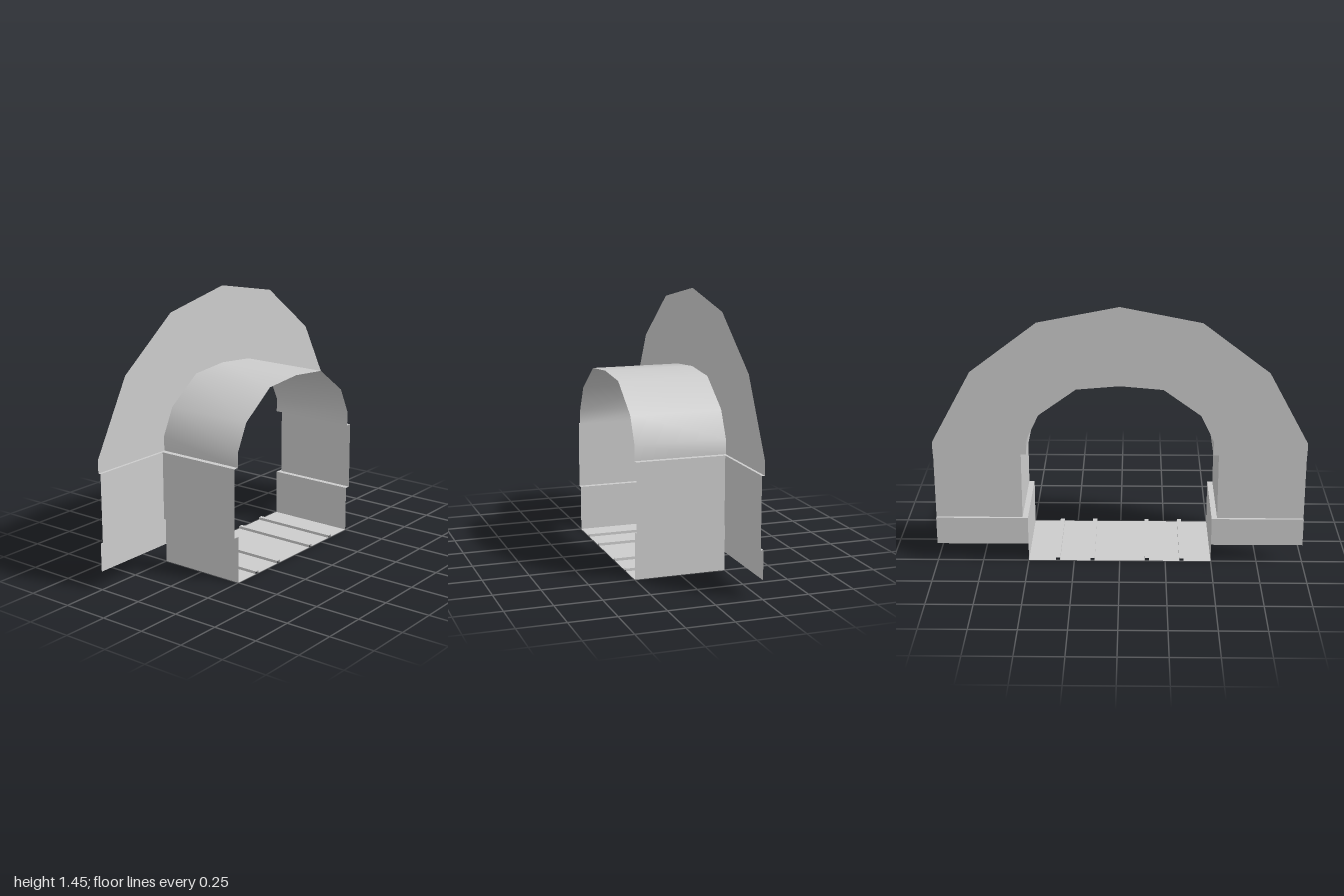
import * as THREE from 'three';

const X0 = -0.25, X1 = 0.25, RECESS = -0.235;
const BAND_LOW = 0.255, BAND_HIGH = 0.63;

const stone = new THREE.MeshStandardMaterial({ color: 0xcccccc, side: THREE.DoubleSide });
stone.name = 'grey stone';

function add(group, name, geometry) {
  const mesh = new THREE.Mesh(geometry, stone);
  mesh.name = name;
  group.add(mesh);
}

// Sweeps a [z, y] profile along x into an open sheet
function sheet(profile, x0, x1, smooth = false) {
  const pos = [], index = [];
  profile.forEach(([z, y]) => pos.push(x0, y, z, x1, y, z));
  for (let i = 0; i < profile.length - 1; i++) {
    const a = i * 2;
    index.push(a, a + 1, a + 2, a + 1, a + 3, a + 2);
  }
  let g = new THREE.BufferGeometry();
  g.setAttribute('position', new THREE.Float32BufferAttribute(pos, 3));
  g.setIndex(index);
  if (!smooth) g = g.toNonIndexed();
  g.computeVertexNormals();
  return g;
}

// Flat outline in [z, y] standing at a given x, facing -x
function panel(points, x) {
  const g = new THREE.ShapeGeometry(new THREE.Shape(points.map(p => new THREE.Vector2(...p))));
  return g.rotateY(-Math.PI / 2).translate(x, 0, 0);
}

const rect = (z0, z1, y0, y1) => [[z0, y0], [z1, y0], [z1, y1], [z0, y1]];

// Mirrors half an arch, given from the springing up to the crown
const mirrored = half => [...half, ...half.slice(0, -1).reverse().map(([z, y]) => [-z, y])];

export function createModel() {
  const model = new THREE.Group();
  model.name = 'archway';

  const inner = mirrored([[0.5, BAND_HIGH], [0.5, 0.71], [0.43, 0.855], [0.23, 1.0], [0, 1.02]]);
  const outer = mirrored([[1, BAND_HIGH], [1, 0.7], [0.785, 1.095], [0.43, 1.365], [0, 1.45]]);

  // Smooth barrel vault and the faceted arch face around it
  add(model, 'vault', sheet(inner, X0, X1, true));
  add(model, 'archFace', panel([...outer, ...inner.slice().reverse()], X0));

  // Side walls with a recessed middle band, on both sides of the passage
  for (const s of [1, -1]) {
    const side = new THREE.Group();
    side.name = s > 0 ? 'frontPier' : 'backPier';
    const [a, b, c] = [0.5 * s, 0.53 * s, s];
    add(side, 'lowerWall', sheet([[a, 0], [a, BAND_LOW]], X0, X1));
    add(side, 'recessedWall',
      sheet([[a, BAND_LOW], [b, BAND_LOW], [b, BAND_HIGH], [a, BAND_HIGH]], RECESS, X1));
    add(side, 'lowerFace', panel(rect(a, c, 0.1, BAND_LOW), X0));
    add(side, 'recessedFace', panel(rect(b, c, BAND_LOW, BAND_HIGH), RECESS));
    for (const y of [BAND_LOW, BAND_HIGH]) {
      add(side, 'faceLedge', sheet([[c, y], [a, y]], X0, RECESS));
    }
    model.add(side);
  }

  // Floor with four narrow raised ribs
  const floor = [[0.5, 0]];
  for (const z of [0.34, 0.15, -0.15, -0.34]) {
    const w = 0.012, h = 0.015;
    floor.push([z + w, 0], [z + w, h], [z - w, h], [z - w, 0]);
  }
  floor.push([-0.5, 0]);
  add(model, 'floor', sheet(floor, X0, X1));

  return model;
}
